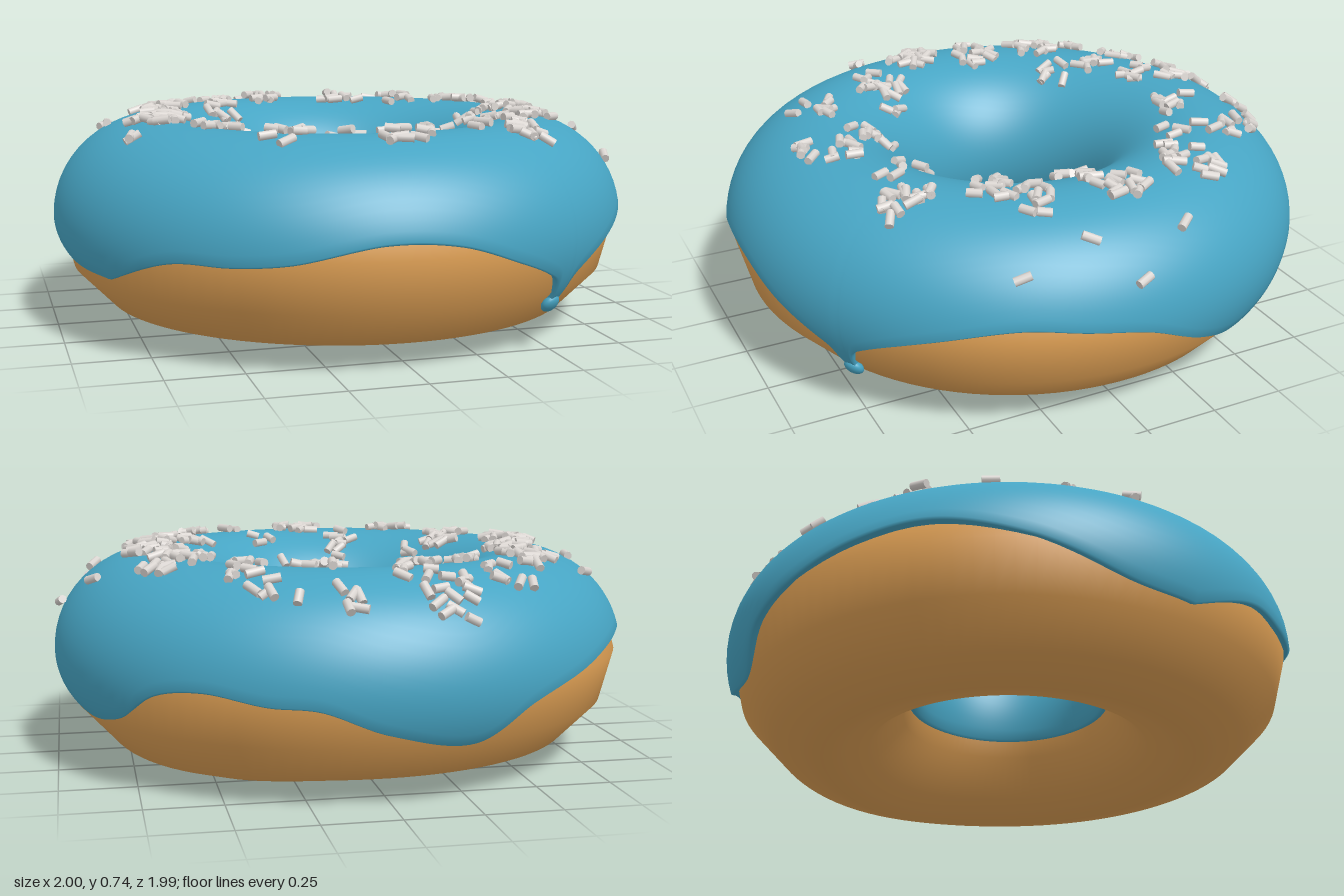
import * as THREE from 'three';
import { mergeGeometries } from 'three/addons/utils/BufferGeometryUtils.js';

const RING = 0.65, MID = 0.37;          // ring radius and mid height
const ICE_OUT = 0.35, ICE_IN = 0.336, ICE_H = 0.335;
const rad = THREE.MathUtils.degToRad;

// Small seeded random
let seed = 7;
function rnd() {
  seed = (seed * 16807) % 2147483647;
  return seed / 2147483647;
}

// Point around the ring: phi turns from +z towards +x, (dx, dy) is the section offset
function ringPoint(phi, dx, dy) {
  return new THREE.Vector3(Math.sin(phi) * (RING + dx), MID + dy, Math.cos(phi) * (RING + dx));
}

// Icing section at angle theta, scaled by s
function icingPoint(phi, theta, s = 1) {
  const c = Math.cos(theta);
  return ringPoint(phi, c * s * (c > 0 ? ICE_OUT : ICE_IN), Math.sin(theta) * s * ICE_H);
}

// Closed loop of cross-sections; columns run along phi, rows along theta
function sweep(columns, closeSection) {
  const n = columns.length, m = columns[0].length;
  const positions = [], index = [];
  columns.forEach(col => col.forEach(p => positions.push(p.x, p.y, p.z)));
  for (let i = 0; i < n; i++) {
    for (let j = 0; j < (closeSection ? m : m - 1); j++) {
      const i2 = (i + 1) % n, j2 = (j + 1) % m;
      const a = i * m + j, b = i2 * m + j, c = i2 * m + j2, d = i * m + j2;
      index.push(a, b, c, a, c, d);
    }
  }
  const g = new THREE.BufferGeometry();
  g.setAttribute('position', new THREE.Float32BufferAttribute(positions, 3));
  g.setIndex(index);
  g.computeVertexNormals();
  return g;
}

// Dough: twelve-sided section with a slight sag underneath
function doughGeometry() {
  const columns = [];
  for (let i = 0; i < 96; i++) {
    const phi = (i / 96) * Math.PI * 2, col = [];
    const sag = 0.03 * Math.exp(-(((phi - rad(129)) / rad(30)) ** 2));
    for (let j = 0; j < 12; j++) {
      const t = (j / 12) * Math.PI * 2, c = Math.cos(t), s = Math.sin(t);
      const dy = s * (s > 0 ? 0.31 : 0.34) - sag * Math.max(0, -s) ** 3;
      col.push(ringPoint(phi, c * (c > 0 ? 0.33 : 0.322), dy));
    }
    columns.push(col);
  }
  return sweep(columns, true);
}

// Icing: wavy lower edge given as [degrees, height], with a narrow drip at 32 degrees
const EDGE = [
  [-63, 0.25], [-46, 0.345], [-34, 0.35], [-24, 0.365], [-7, 0.425], [6, 0.41], [18, 0.34],
  [26, 0.285], [29.5, 0.25], [30.6, 0.2], [31.1, 0.15], [32, 0.14], [32.9, 0.15], [33.4, 0.2],
  [34.5, 0.25], [38, 0.29], [50, 0.365], [66, 0.42], [78, 0.4], [90, 0.36], [102, 0.265],
  [113, 0.21], [124, 0.24], [135, 0.345], [145, 0.37], [157, 0.34], [166, 0.33], [178, 0.25],
  [195, 0.2], [206, 0.31], [220, 0.38], [233, 0.43], [247, 0.45], [265, 0.38], [284, 0.27], [297, 0.25],
];
function icingGeometry() {
  const curve = new THREE.CatmullRomCurve3(EDGE.map(([d, h]) => new THREE.Vector3(rad(d), h, 0)));
  curve.arcLengthDivisions = 2000;
  const edge = curve.getSpacedPoints(560).slice(0, -1);
  const inner = Math.PI + Math.asin(0.11 / ICE_H), rows = 34;
  return sweep(edge.map(({ x: phi, y: h }) => {
    const outer = Math.asin((h - MID) / ICE_H);
    const col = [icingPoint(phi, outer - 0.01, 0.9), icingPoint(phi, outer - 0.02, 0.975)];
    for (let j = 0; j <= rows; j++) col.push(icingPoint(phi, outer + (inner - outer) * j / rows));
    col.push(icingPoint(phi, inner + 0.03, 0.975), icingPoint(phi, inner + 0.02, 0.9));
    return col;
  }), false);
}

// Sprinkle clusters: x, z, count, spread
const CLUSTERS = [
  [-0.2, -0.84, 12, 0.1], [-0.12, -0.7, 9, 0.1], [-0.42, -0.68, 7, 0.08], [0.14, -0.85, 5, 0.05],
  [0.34, -0.77, 5, 0.08], [0.18, -0.58, 9, 0.09], [0.43, -0.6, 6, 0.08], [-0.15, -0.56, 5, 0.06],
  [-0.33, -0.5, 7, 0.08], [-0.52, -0.53, 5, 0.04], [-0.35, -0.38, 6, 0.06], [-0.57, -0.35, 15, 0.11],
  [-0.77, -0.4, 1, 0], [-0.79, -0.18, 1, 0], [-0.58, -0.12, 14, 0.09], [-0.66, 0.1, 20, 0.09],
  [-0.48, 0.3, 16, 0.09], [-0.35, 0.31, 3, 0.04], [-0.77, 0.28, 2, 0.03], [-0.33, 0.6, 8, 0.09],
  [-0.12, 0.48, 9, 0.08], [0.04, 0.67, 14, 0.11], [0.25, 0.52, 5, 0.1], [0.46, 0.57, 13, 0.1],
  [0.48, 0.35, 8, 0.09], [0.64, 0.26, 13, 0.1], [0.53, 0, 9, 0.09], [0.66, -0.06, 13, 0.09],
  [0.6, -0.35, 18, 0.12], [0.38, -0.42, 3, 0.06], [0.86, -0.18, 1, 0], [0.85, 0.14, 1, 0],
  [0.86, 0.37, 1, 0], [0.96, 0.02, 1, 0], [0.14, 0.38, 1, 0],
];
function sprinkleGeometry() {
  const parts = [], up = new THREE.Vector3(0, 1, 0);
  for (const [cx, cz, count, spread] of CLUSTERS) {
    for (let k = 0; k < count; k++) {
      const turn = rnd() * Math.PI * 2, reach = Math.sqrt(rnd()) * spread;
      const x = cx + Math.cos(turn) * reach, z = cz + Math.sin(turn) * reach;
      const dx = Math.hypot(x, z) - RING, phi = Math.atan2(x, z);
      const theta = Math.acos(THREE.MathUtils.clamp(dx / (dx > 0 ? ICE_OUT : ICE_IN), -0.98, 0.98));
      const normal = ringPoint(phi, Math.cos(theta), Math.sin(theta)).sub(ringPoint(phi, 0, 0)).normalize();
      // Lay the sprinkle along the surface in a random direction
      const dir = new THREE.Vector3(1, 0, 0).applyAxisAngle(up, rnd() * Math.PI * 2);
      dir.addScaledVector(normal, -dir.dot(normal) + (rnd() - 0.5) * 0.3).normalize();
      const g = new THREE.CylinderGeometry(0.0145, 0.0145, 0.045 + rnd() * 0.017, 9);
      g.applyQuaternion(new THREE.Quaternion().setFromUnitVectors(up, dir));
      const p = icingPoint(phi, theta).addScaledVector(normal, 0.007 + rnd() * 0.01);
      parts.push(g.translate(p.x, p.y, p.z));
    }
  }
  return mergeGeometries(parts);
}

export function createModel() {
  seed = 7;
  const material = (name, color) => {
    const m = new THREE.MeshStandardMaterial({ color });
    m.name = name;
    return m;
  };
  const dough = material('dough tan', 0xe0a155);
  const icing = material('icing blue', 0x47a5c4);
  const sprinkle = material('sprinkle white', 0xdad5d1);

  const group = new THREE.Group();
  group.name = 'donut';
  const add = (name, geometry, mat) => {
    const mesh = new THREE.Mesh(geometry, mat);
    mesh.name = name;
    group.add(mesh);
    return mesh;
  };
  add('dough', doughGeometry(), dough);
  add('icing', icingGeometry(), icing);
  add('sprinkles', sprinkleGeometry(), sprinkle);

  // Rounded bead at the end of the drip
  const bead = add('dripBead', new THREE.SphereGeometry(1, 24, 16), icing);
  bead.position.copy(icingPoint(rad(32), Math.asin((0.157 - MID) / ICE_H), 0.99));
  bead.scale.set(0.034, 0.034, 0.02);
  bead.rotation.set(rad(38), rad(32), 0, 'YXZ');
  return group;
}
